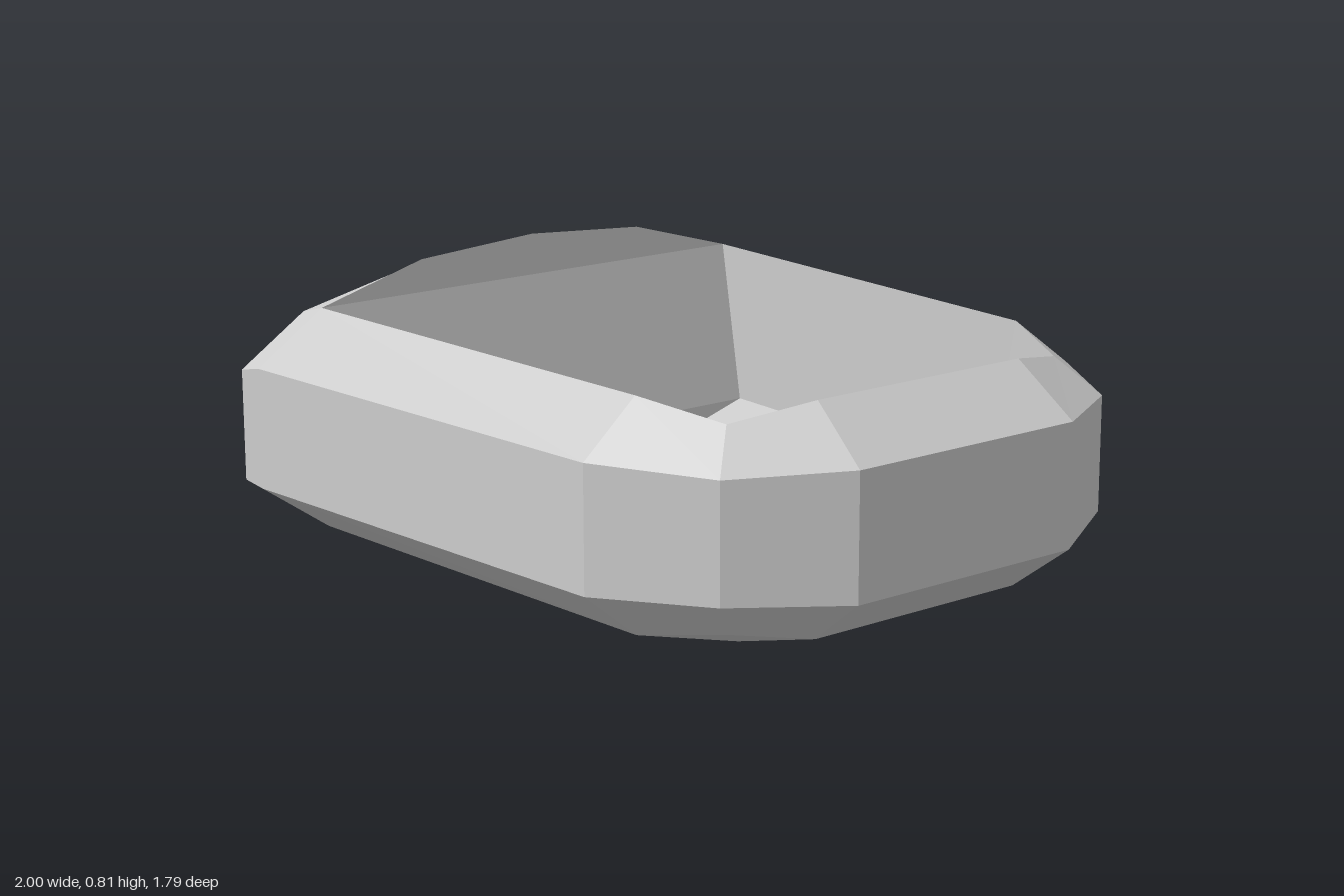
import * as THREE from 'three';

const material = new THREE.MeshStandardMaterial({ color: 0xcccccc, flatShading: true });
const smooth = new THREE.MeshStandardMaterial({ color: 0xcccccc });

// Rows run from the front panel (-x) to the rounded end (+x), on the +z half.
const rim = [[-0.89, 0.61, 0.62], [-0.815, 0.67, 0.7], [-0.74, 0.69, 0.69],
  [0.52, 0.685, 0.63], [0.745, 0.645, 0.54], [0.825, 0.685, 0.33]];
const upper = [[-0.89, 0.51, 0.785], [-0.815, 0.54, 0.895], [-0.74, 0.555, 0.89],
  [0.54, 0.555, 0.8], [0.83, 0.545, 0.63], [0.995, 0.555, 0.35]];
const lower = [[-0.89, 0.27, 0.785], [-0.815, 0.24, 0.895], [-0.74, 0.23, 0.89],
  [0.54, 0.23, 0.8], [0.83, 0.24, 0.63], [0.995, 0.23, 0.35]];
const bottom = [[-0.89, 0.18, 0.62], [-0.815, 0.12, 0.7], [-0.74, 0.09, 0.69],
  [0.52, 0.095, 0.63], [0.745, 0.135, 0.54], [0.825, 0.1, 0.33]];
const keelEnd = [0.54, 0.02, 0.33];
const keel = [[-0.89, 0.09, 0.34], [-0.815, 0.04, 0.37], [-0.74, 0, 0.37], keelEnd, keelEnd, keelEnd];
const crown = [[-0.89, 0.69, 0], [-0.815, 0.76, 0], [-0.74, 0.805, 0]];
const arch = [[-0.89, 0.675, 0.34], [-0.815, 0.745, 0.37], [-0.74, 0.78, 0.37]];
const floorEdge = [[-0.66, 0.24, 0.69], [0.43, 0.24, 0.635], [0.68, 0.245, 0.53], [0.785, 0.2, 0.28]];
const floorEnd = [0.43, 0.13, 0.29];
const floorBend = [[-0.66, 0.13, 0.34], floorEnd, floorEnd, floorEnd];

const toCentre = (row) => row.map(([x, y]) => [x, y, 0]);

// Collects quads on the +z half and mirrors each one to the -z half
function surface() {
  const positions = [];
  const tri = (a, b, c) => {
    const [p, q, r] = [a, b, c].map((v) => new THREE.Vector3(...v));
    if (q.sub(p).cross(r.sub(p)).length() < 1e-7) return;
    positions.push(...a, ...b, ...c);
    const [m, n, o] = [a, b, c].map(([x, y, z]) => [x, y, -z]);
    positions.push(...m, ...o, ...n);
  };
  const quad = (a, b, c, d) => { tri(a, b, c); tri(a, c, d); };
  return {
    // skin between two rows, inner or higher row first
    strip(a, b) {
      for (let i = 0; i < a.length - 1; i++) quad(a[i], b[i], b[i + 1], a[i + 1]);
    },
    // fills a half profile, listed from top to bottom, to the centre plane
    cap(profile, facingPlusX) {
      const centre = toCentre(profile);
      const [l, r] = facingPlusX ? [profile, centre] : [centre, profile];
      for (let i = 0; i < l.length - 1; i++) quad(l[i], l[i + 1], r[i + 1], r[i]);
    },
    mesh(name) {
      const geometry = new THREE.BufferGeometry();
      geometry.setAttribute('position', new THREE.Float32BufferAttribute(positions, 3));
      geometry.computeVertexNormals();
      const mesh = new THREE.Mesh(geometry, material);
      mesh.name = name;
      return mesh;
    },
  };
}

export function createModel() {
  const group = new THREE.Group();
  group.name = 'drawer';

  // outer shell: bevelled rim, sides, faceted underside and rounded end
  const shell = surface();
  const rows = [rim, upper, lower, bottom, keel];
  for (let i = 0; i < rows.length - 1; i++) shell.strip(rows[i], rows[i + 1]);
  const underside = [...keel.slice(0, 4), bottom[5]];
  shell.strip(underside, toCentre(underside));
  shell.cap([rim[5], upper[5], lower[5], bottom[5]], true);
  group.add(shell.mesh('outerShell'));

  // front panel: flat face, arched top and leaning inner face
  const panel = surface();
  panel.cap([crown[0], arch[0], rim[0], upper[0], lower[0], bottom[0], keel[0]], false);
  panel.strip(crown, arch);
  panel.strip(arch, rim.slice(0, 3));
  panel.cap([crown[2], arch[2], rim[2], floorEdge[0], floorBend[0]], true);
  group.add(panel.mesh('frontPanel'));

  // hollow inside: walls, sloping floor sides and flat floor
  const basin = surface();
  basin.strip(floorEdge, rim.slice(2));
  basin.strip(floorBend, floorEdge);
  const flatFloor = [floorBend[0], floorEnd, floorEdge[3]];
  basin.strip(toCentre(flatFloor), flatFloor);
  basin.cap([rim[5], floorEdge[3]], false);
  group.add(basin.mesh('basin'));

  // round knob set into the front panel
  const knob = new THREE.Mesh(new THREE.SphereGeometry(0.088, 32, 20), smooth);
  knob.name = 'knob';
  knob.position.set(-0.915, 0.36, 0.01 - 0.02);
  knob.scale.x = 0.97;
  group.add(knob);

  return group;
}
